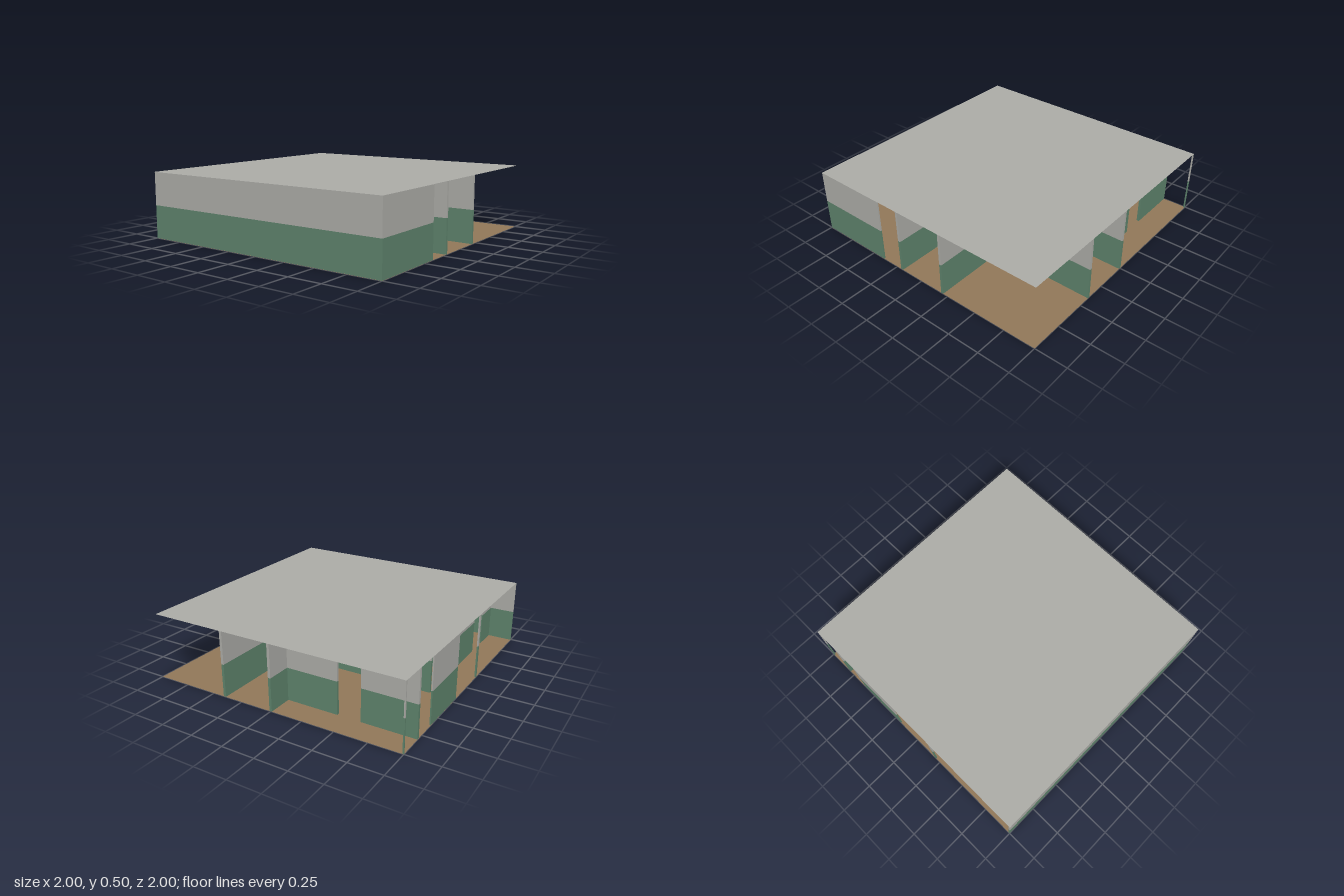
import * as THREE from 'three';

const HEIGHT = 0.5, DADO = 0.25, HALF = 0.01, LIFT = 0.001;

export function createModel() {
  const model = new THREE.Group();
  model.name = 'singleStoreyBuilding';

  const plaster = new THREE.MeshStandardMaterial({ color: 0xacaca7, side: THREE.DoubleSide });
  plaster.name = 'grey plaster';
  const paint = new THREE.MeshStandardMaterial({ color: 0x5e836c });
  paint.name = 'green wall paint';
  const boards = new THREE.MeshStandardMaterial({ color: 0x927859, side: THREE.DoubleSide });
  boards.name = 'brown floor';

  // Horizontal sheet covering the whole plan
  const slab = (name, y, material) => {
    const mesh = new THREE.Mesh(new THREE.PlaneGeometry(2, 2), material);
    mesh.name = name;
    mesh.rotation.x = -Math.PI / 2;
    mesh.position.y = y;
    model.add(mesh);
  };
  slab('floor', 0, boards);
  slab('roof', HEIGHT, plaster);

  // Wall piece over a plan rectangle, green below and grey above
  const clip = (v) => Math.max(-1, Math.min(1, v));
  const wall = (name, xa, xb, za, zb) => {
    const [x0, x1, z0, z1] = [xa, xb, za, zb].map(clip);
    const group = new THREE.Group();
    group.name = name;
    const bands = [['lowerWall', LIFT, DADO, paint], ['upperWall', DADO, HEIGHT - LIFT, plaster]];
    for (const [part, y0, y1, material] of bands) {
      const mesh = new THREE.Mesh(new THREE.BoxGeometry(x1 - x0, y1 - y0, z1 - z0), material);
      mesh.name = part;
      mesh.position.set((x0 + x1) / 2, (y0 + y1) / 2, (z0 + z1) / 2);
      group.add(mesh);
    }
    model.add(group);
  };

  // Walls running across (name, z, from x, to x); gaps between pieces are doorways
  const across = [
    ['frontRoomWall', 1, -1, -0.4],
    ['rightFrontPartition', 0.4, -1, -0.2],
    ['rightMiddlePartition', 0, -1, -0.2],
    ['rightBackPartition', -0.8, -1, -0.8],
    ['rightBackPartition', -0.8, -0.6, -0.2],
    ['leftFrontPartition', 0.4, 0.2, 1],
    ['leftMiddlePartition', 0, 0.2, 1],
    ['backRoomWall', -1, 0.2, 0.6],
  ];
  for (const [name, z, x0, x1] of across) wall(name, x0 - HALF, x1 + HALF, z - HALF, z + HALF);

  // Walls running front to back (name, x, from z, to z)
  const along = [
    ['outerSideWall', -1, -1, 1],
    ['rightCorridorWall', -0.2, -0.8, 1],
    ['leftCorridorWall', 0.2, -0.8, 1],
    ['leftBackPartition', 0.8, -1, -0.6],
    ['leftBackPartition', 0.8, -0.4, 0],
    ['corridorPost', -0.2, -1, -1],
    ['cornerPost', 1, -1, -1],
  ];
  for (const [name, x, z0, z1] of along) wall(name, x - HALF, x + HALF, z0 - HALF, z1 + HALF);

  return model;
}
